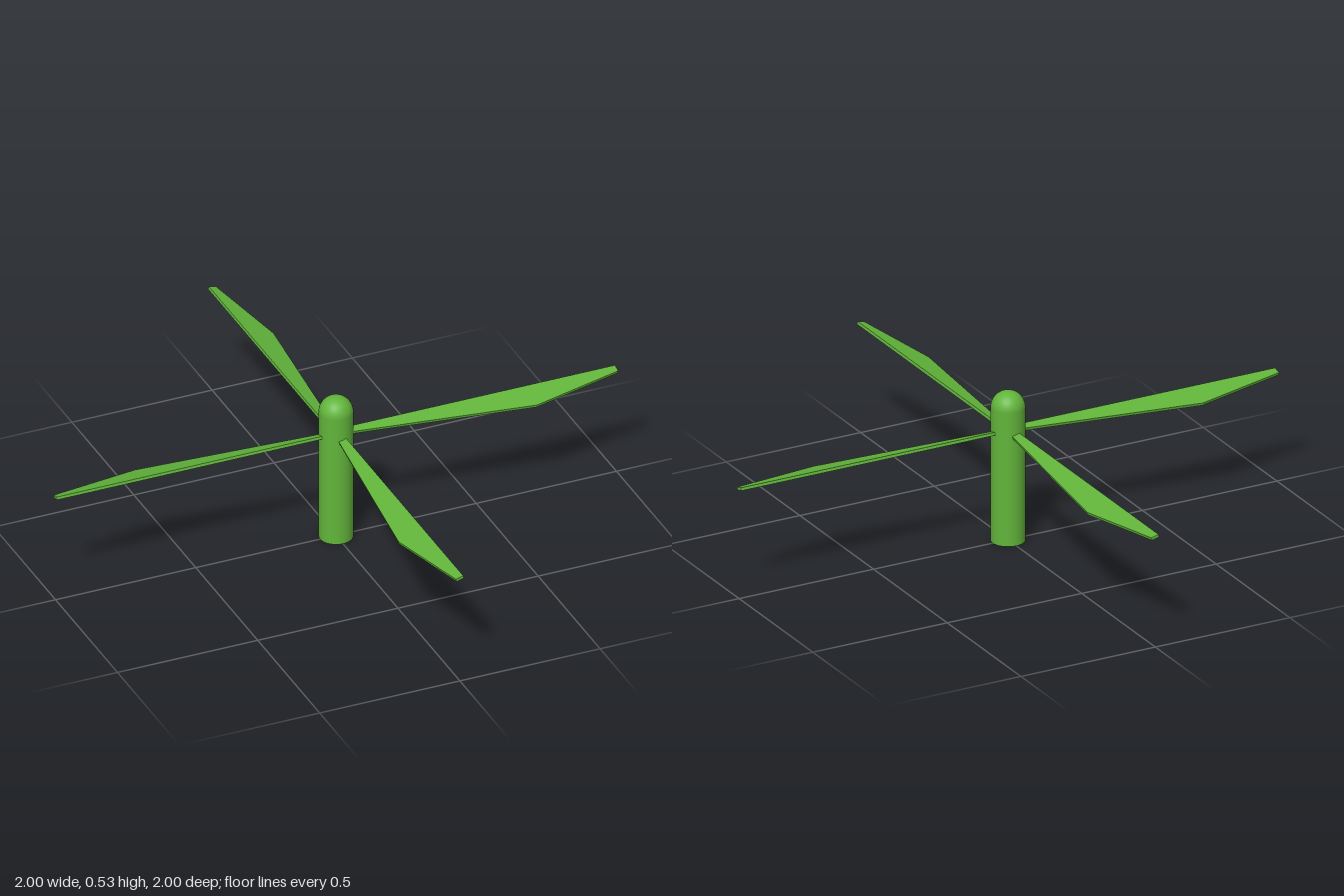
import * as THREE from 'three';

const MAST_RADIUS = 0.057, MAST_HEIGHT = 0.473;
const ROTOR_HEIGHT = 0.39, BLADE_THICKNESS = 0.01, BLADE_PITCH = THREE.MathUtils.degToRad(15);

// Thin plate with one straight edge and one kinked edge, pitched about its length
function bladeGeometry() {
  const outline = new THREE.Shape([
    [0.055, -0.0135], [1, -0.0135], [1, 0.0135], [0.682, 0.08], [0.055, 0.0135],
  ].map(([x, y]) => new THREE.Vector2(x, y)));
  const geometry = new THREE.ExtrudeGeometry(outline, { depth: BLADE_THICKNESS, bevelEnabled: false });
  geometry.translate(0, 0, -BLADE_THICKNESS / 2);
  geometry.rotateX(Math.PI / 2 + BLADE_PITCH);
  return geometry;
}

export function createModel() {
  const model = new THREE.Group();
  model.name = 'rotor';
  const green = new THREE.MeshStandardMaterial({ color: 0x62b53b });

  const add = (name, geometry, y, parent = model) => {
    const mesh = new THREE.Mesh(geometry, green);
    mesh.name = name;
    mesh.position.y = y;
    parent.add(mesh);
    return mesh;
  };

  // Mast with an open top, closed by the round cap
  const mast = new THREE.CylinderGeometry(MAST_RADIUS, MAST_RADIUS, MAST_HEIGHT, 32);
  add('mast', mast, MAST_HEIGHT / 2);
  const cap = new THREE.SphereGeometry(MAST_RADIUS, 32, 12, 0, Math.PI * 2, 0, Math.PI / 2);
  add('mastCap', cap, MAST_HEIGHT);

  // Four identical blades around the mast
  const blades = new THREE.Group();
  blades.name = 'blades';
  model.add(blades);
  const blade = bladeGeometry();
  for (let i = 0; i < 4; i++) {
    add(`blade${i + 1}`, blade, ROTOR_HEIGHT, blades).rotation.y = i * Math.PI / 2;
  }
  return model;
}
